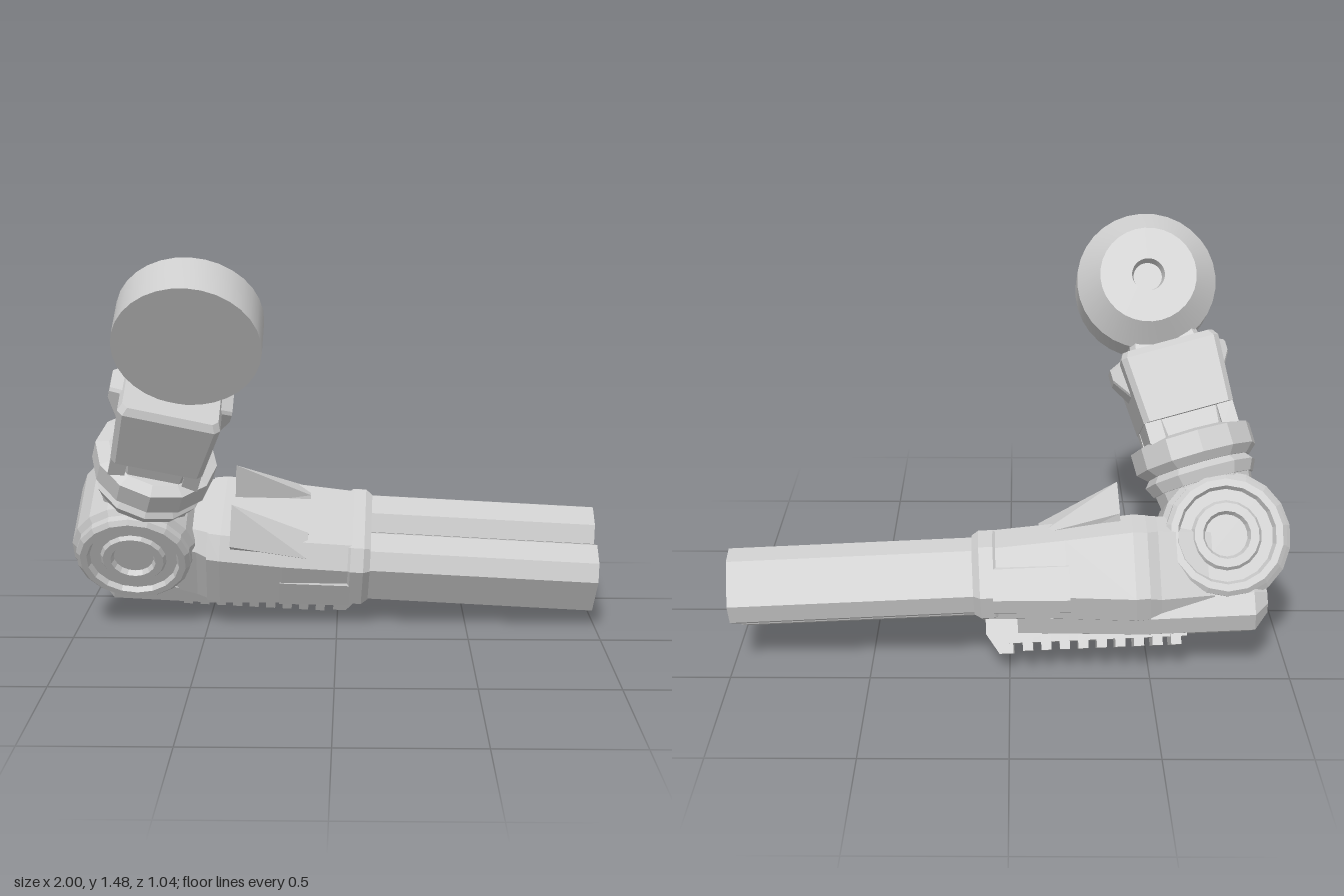
import * as THREE from 'three';
import { toCreasedNormals } from 'three/addons/utils/BufferGeometryUtils.js';

const flat = new THREE.MeshStandardMaterial({ color: 0xcccccc, flatShading: true });
const smooth = new THREE.MeshStandardMaterial({ color: 0xcccccc });

function add(parent, name, geometry, x = 0, y = 0, z = 0, material = flat) {
  const mesh = new THREE.Mesh(geometry, material);
  mesh.name = name;
  mesh.position.set(x, y, z);
  parent.add(mesh);
  return mesh;
}

// Skin between rings of [x, y, z] points, closed at both ends
function loft(rings) {
  const out = [], n = rings[0].length;
  const tri = (...p) => p.forEach(q => out.push(...q));
  for (let i = 0; i + 1 < rings.length; i++) {
    for (let j = 0; j < n; j++) {
      const k = (j + 1) % n, a = rings[i], b = rings[i + 1];
      tri(a[j], a[k], b[k]);
      tri(a[j], b[k], b[j]);
    }
  }
  const first = rings[0], last = rings[rings.length - 1];
  for (let j = 1; j + 1 < n; j++) {
    tri(first[0], first[j + 1], first[j]);
    tri(last[0], last[j], last[j + 1]);
  }
  const g = new THREE.BufferGeometry();
  g.setAttribute('position', new THREE.Float32BufferAttribute(out, 3));
  g.computeVertexNormals();
  return g;
}

// Rectangle with cut corners at station x: height, width, corner cut, centre height
function octagon(x, height, width, cut, cy = 0) {
  const h = height / 2, w = width / 2;
  return [[h, w - cut], [h - cut, w], [cut - h, w], [-h, w - cut],
    [-h, cut - w], [cut - h, -w], [h - cut, -w], [h, cut - w]].map(([y, z]) => [x, y + cy, z]);
}

// Turned part whose axis runs along z
function turned(points, sides) {
  return new THREE.LatheGeometry(points.map(p => new THREE.Vector2(...p)), sides).rotateX(Math.PI / 2);
}

function buildElbow(parent) {
  const half = [[0, 0.18], [0.075, 0.18], [0.085, 0.2], [0.115, 0.2], [0.125, 0.185],
    [0.165, 0.185], [0.175, 0.205], [0.2, 0.205], [0.216, 0.19], [0.216, 0.165], [0.235, 0.145]];
  const profile = [...half.map(([r, z]) => [r, -z]), ...half.slice().reverse()];
  add(parent, 'elbowJoint', turned(profile, 18));
}

function buildForearm(parent) {
  const arm = new THREE.Group();
  arm.name = 'forearm';
  arm.rotation.set(0, -0.026, -0.045);
  arm.position.z = -0.033;
  parent.add(arm);
  const cy = -0.1;

  add(arm, 'elbowBracket', loft([
    octagon(0.05, 0.34, 0.3, 0.06, cy), octagon(0.24, 0.36, 0.38, 0.06, cy),
    octagon(0.3, 0.37, 0.44, 0.07, cy)]));
  add(arm, 'forearmShell', loft([
    octagon(0.28, 0.37, 0.44, 0.07, cy), octagon(0.33, 0.375, 0.455, 0.07, cy),
    octagon(0.57, 0.34, 0.45, 0.07, cy), octagon(0.83, 0.31, 0.43, 0.07, cy)]));
  add(arm, 'sidePanel', loft([
    octagon(0.56, 0.2, 0.455, 0.04, cy - 0.05), octagon(0.83, 0.19, 0.445, 0.04, cy - 0.045)]));
  add(arm, 'barrelCollar', loft([
    octagon(0.81, 0.29, 0.42, 0.06, cy), octagon(0.825, 0.31, 0.445, 0.065, cy),
    octagon(0.875, 0.31, 0.445, 0.065, cy), octagon(0.9, 0.28, 0.41, 0.06, cy)]));

  // Twin hollow barrels
  for (const side of [-1, 1]) {
    add(arm, 'barrel', loft([
      octagon(0.86, 0.265, 0.2, 0.052), octagon(1.77, 0.265, 0.2, 0.052),
      octagon(1.77, 0.225, 0.162, 0.045), octagon(1.62, 0.225, 0.162, 0.045)]), 0, cy, side * 0.101);
  }

  // Raised fins on top, high at the rear and sinking forward, mirrored
  const finRing = (x, ridge, outer, base, inner) =>
    [ridge, outer, base, inner].map(([y, z]) => [x, y, z]);
  const fin = loft([
    finRing(0.37, [0.215, 0.105], [0.09, 0.205], [0, 0.15], [0.05, 0.05]),
    finRing(0.66, [0.078, 0.1], [0.03, 0.19], [-0.03, 0.14], [0.02, 0.06])]);
  for (const side of [-1, 1]) add(arm, 'topFin', fin, 0, 0, 0.012).scale.z = side;

  // Under tray with a ribbed rail
  add(arm, 'underTray', loft([
    octagon(-0.14, 0.1, 0.24, 0.03, -0.225), octagon(-0.09, 0.18, 0.32, 0.05, -0.245),
    octagon(0.3, 0.18, 0.32, 0.05, -0.245), octagon(0.75, 0.14, 0.3, 0.05, -0.24)]), 0, 0, 0.015);
  add(arm, 'rail', new THREE.BoxGeometry(0.66, 0.1, 0.18), 0.48, -0.295, 0.015);
  for (let i = 0; i < 9; i++) {
    add(arm, 'railRib', new THREE.BoxGeometry(0.036, 0.05, 0.19), 0.19 + i * 0.066, -0.349, 0.015);
  }
  const stop = new THREE.Shape([[0.77, -0.2], [0.77, -0.381], [0.82, -0.381], [0.865, -0.31], [0.865, -0.2]]
    .map(p => new THREE.Vector2(...p)));
  add(arm, 'railStop', new THREE.ExtrudeGeometry(stop, { depth: 0.17, bevelEnabled: false }), 0, 0, -0.073);
}

function buildUpperArm(parent) {
  const arm = new THREE.Group();
  arm.name = 'upperArm';
  arm.rotation.z = -0.27;
  parent.add(arm);
  const ring = (name, top, bottom, from, to) =>
    add(arm, name, new THREE.CylinderGeometry(top, bottom, to - from, 12), 0, (from + to) / 2);

  ring('armBase', 0.185, 0.16, 0.05, 0.23);
  ring('lowerRing', 0.21, 0.19, 0.21, 0.25);
  ring('lowerRingRim', 0.185, 0.21, 0.25, 0.28);
  ring('upperRingBevel', 0.228, 0.195, 0.275, 0.305);
  ring('upperRing', 0.228, 0.228, 0.305, 0.385);
  ring('upperRingTop', 0.18, 0.228, 0.385, 0.4);

  const column = loft([octagon(0.36, 0.32, 0.3, 0.07), octagon(0.5, 0.33, 0.3, 0.06)]);
  add(arm, 'armColumn', column).rotation.z = Math.PI / 2;
  const sleeve = loft([
    octagon(0.465, 0.335, 0.345, 0.02), octagon(0.71, 0.365, 0.365, 0.02),
    octagon(0.735, 0.34, 0.33, 0.02)]);
  add(arm, 'armSleeve', sleeve).rotation.z = Math.PI / 2;

  // Side wedges and small clips
  const wedge = loft([octagon(0, 0.15, 0.16, 0.01), octagon(0.05, 0.05, 0.11, 0.01, 0.03)]);
  for (const side of [-1, 1]) {
    add(arm, 'sideWedge', wedge, side * 0.17, 0.65).scale.x = side;
    for (const z of [-0.12, 0.12]) {
      add(arm, 'sleeveClip', new THREE.BoxGeometry(0.06, 0.09, 0.07), side * 0.135, 0.43, z);
    }
  }

  // Neck and shoulder cap
  const neck = loft([octagon(0.7, 0.28, 0.14, 0.02), octagon(0.92, 0.2, 0.13, 0.02)]);
  add(arm, 'neck', neck, 0, 0, -0.02).rotation.z = Math.PI / 2;
  const cap = turned([[0, -0.13], [0.052, -0.13], [0.06, -0.165], [0.176, -0.165],
    [0.257, -0.073], [0.257, 0.096], [0, 0.096]], 32);
  add(arm, 'shoulderCap', toCreasedNormals(cap, 0.45), 0, 0.99, -0.003, smooth);
}

export function createModel() {
  const model = new THREE.Group();
  model.name = 'mechanicalArm';
  // The whole arm leans forward around x
  const lean = new THREE.Group();
  lean.name = 'leaningArm';
  lean.rotation.x = 0.541;
  model.add(lean);
  const joint = new THREE.Group();
  joint.name = 'elbow';
  joint.position.set(-0.767, 0.244, -0.37);
  lean.add(joint);
  buildElbow(joint);
  buildForearm(joint);
  buildUpperArm(joint);
  return model;
}
